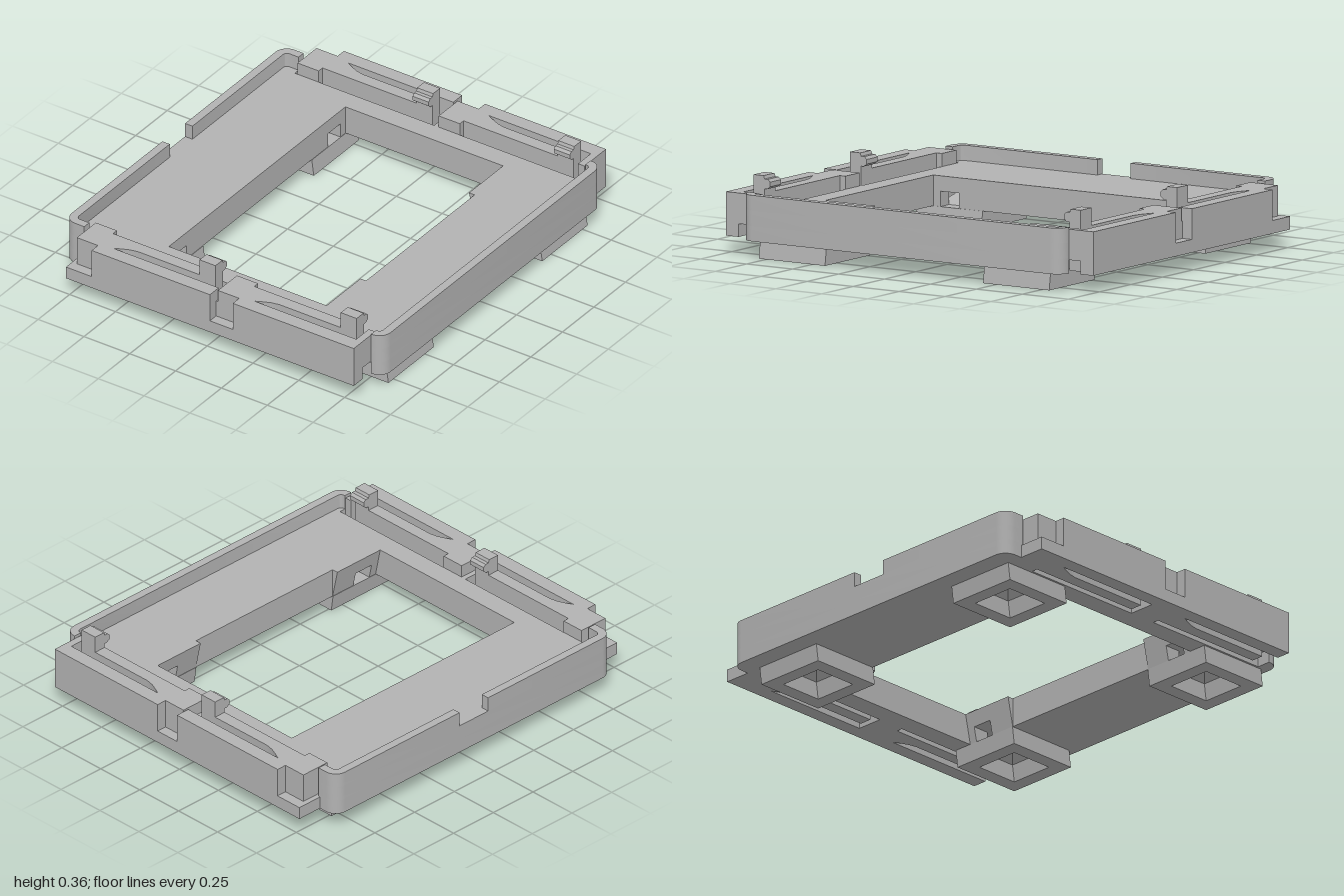
import * as THREE from 'three';
import { toCreasedNormals } from 'three/addons/utils/BufferGeometryUtils.js';

const grey = new THREE.MeshStandardMaterial({ color: 0xb2b2b2, side: THREE.DoubleSide });
grey.name = 'grey plastic';

// Heights of the main levels
const BASE = 0.08, POCKET = 0.15, FLOOR = 0.22, RIM = 0.29, STEP = 0.14, BAR = 0.28;

const toPath = (pts, Type) => new Type(pts.map(([a, b]) => new THREE.Vector2(a, b)));

// Horizontal slab from an [x, z] outline
function slab(outline, y0, y1, hole) {
  const flip = (pts) => pts.map(([x, z]) => [x, -z]);
  const shape = toPath(flip(outline), THREE.Shape);
  if (hole) shape.holes.push(toPath(flip(hole), THREE.Path));
  const geo = new THREE.ExtrudeGeometry(shape, { depth: y1 - y0, bevelEnabled: false });
  geo.rotateX(-Math.PI / 2).translate(0, y0, 0);
  return toCreasedNormals(geo, 0.5);
}

const rect = (x0, z0, x1, z1) => [[x0, z0], [x1, z0], [x1, z1], [x0, z1]];

// Quarter arc from the z side to the x side, around the corner (sx, sz)
function arc(sx, sz, r) {
  return Array.from({ length: 9 }, (_, i) => {
    const a = (Math.PI / 2) * (1 - i / 8);
    return [sx * (0.81 + r * Math.cos(a)), sz * (0.81 + r * Math.sin(a))];
  });
}

const FEET_X = { '-1': -0.593, '1': 0.653 };
const FOOT_Z = 0.61;

// Outline of the tray: rounded corner posts, recessed front and back edges
function trayOutline() {
  const corner = (sx, sz) => {
    const x = sx > 0 ? 0.805 : -0.76;
    return [[x, sz * 0.8], [x, sz * 0.87], ...arc(sx, sz, 0.06)];
  };
  return [...corner(1, 1), ...corner(1, -1).reverse(), ...corner(-1, -1), ...corner(-1, 1).reverse()];
}

// One long edge of the window, with keyhole pockets above the feet
function windowEdge(side, edgeX) {
  const pts = [[edgeX, -0.7]];
  const near = FEET_X[side] - side * 0.11, far = FEET_X[side] + side * 0.11;
  for (const z of [-FOOT_Z, FOOT_Z]) {
    pts.push([edgeX, z - 0.05], [near, z - 0.05], [near, z - 0.11], [far, z - 0.11],
      [far, z + 0.11], [near, z + 0.11], [near, z + 0.05], [edgeX, z + 0.05]);
  }
  pts.push([edgeX, 0.7]);
  return pts;
}

// Sloped lip on the window edge between two heights
function lip(y0, y1, z0, z1) {
  const x = (y) => 0.475 - ((y - BASE) / (FLOOR - BASE)) * 0.03;
  const shape = toPath([[x(y0), y0], [0.476, y0], [0.476, y1], [x(y1), y1]], THREE.Shape);
  return new THREE.ExtrudeGeometry(shape, { depth: z1 - z0, bevelEnabled: false }).translate(0, 0, z0);
}

// Leaning hollow foot
function footGeometry() {
  const geo = slab(rect(-0.18, -0.18, 0.18, 0.18), 0, BASE, rect(-0.11, -0.11, 0.11, 0.11));
  const p = geo.attributes.position;
  for (let i = 0; i < p.count; i++) p.setX(i, p.getX(i) + (BASE - p.getY(i)) * 0.14);
  geo.computeVertexNormals();
  return geo;
}

// Spring-arm section: stepped block, outer bar and cantilever arm
function clipOutline(x, end, s, stepped) {
  const block = stepped
    ? [[0.025, 0.8], [0.025, 0.95], [0.14, 0.95], [0.14, 1]]
    : [[0, 0.8], [0, 1]];
  return [...block, [end, 1], [end, 0.93], [0.21, 0.93], [0.24, 0.915], [0.28, 0.898], [0.32, 0.89],
    [0.74, 0.89], [0.74, 0.83], [0.14, 0.83], [0.14, 0.8]].map(([u, z]) => [x + u, s * z]);
}

// Catch at the free end of an arm
function hookGeometry(x0, x1, s) {
  const profile = [[0.89, 0.28], [0.89, 0.36], [0.835, 0.36], [0.83, 0.345], [0.812, 0.345],
    [0.8, 0.333], [0.8, 0.312], [0.815, 0.3], [0.83, 0.3], [0.83, 0.28]];
  const shape = toPath(profile.map(([z, y]) => [s * z, y]), THREE.Shape);
  return new THREE.ExtrudeGeometry(shape, { depth: x1 - x0, bevelEnabled: false })
    .rotateY(-Math.PI / 2).translate(x1, 0, 0);
}

export function createModel() {
  const model = new THREE.Group();
  model.name = 'clipFrame';
  const add = (name, geo, parent = model) => {
    const mesh = new THREE.Mesh(geo, grey);
    mesh.name = name;
    parent.add(mesh);
    return mesh;
  };

  // Tray: pocketed underside and plain floor
  const pocketWindow = [...windowEdge(-1, -0.415), ...windowEdge(1, 0.475).reverse()];
  add('trayUnderside', slab(trayOutline(), BASE, POCKET, pocketWindow));
  add('trayFloor', slab(trayOutline(), POCKET, FLOOR, rect(-0.415, -0.7, 0.475, 0.7)));

  // Rim along both sides, open in the middle of the right side
  for (const sx of [-1, 1]) {
    for (const sz of [-1, 1]) {
      const endX = sx > 0 ? 0.805 : -0.76, startZ = sx > 0 ? 0 : sz * 0.09;
      add('rim', slab([[endX, sz * 0.87], ...arc(sx, sz, 0.06), [sx * 0.87, startZ],
        [sx * 0.83, startZ], ...arc(sx, sz, 0.02).reverse(), [endX, sz * 0.83]], FLOOR, RIM));
    }
  }

  // Feet with funnel pockets
  for (const side of [-1, 1]) {
    for (const sz of [-1, 1]) {
      const foot = new THREE.Group();
      foot.name = 'foot';
      foot.position.set(FEET_X[side], 0, sz * FOOT_Z);
      add('footFrame', footGeometry(), foot);
      const funnel = new THREE.CylinderGeometry(0.03, 0.11 * Math.SQRT2, POCKET - BASE, 4, 1, true)
        .rotateY(Math.PI / 4).toNonIndexed();
      funnel.computeVertexNormals();
      add('footPocket', funnel, foot).position.y = (POCKET + BASE) / 2;
      model.add(foot);
    }
  }

  // Sloped window lips, open at the pockets
  for (const s of [-1, 1]) {
    for (const [y0, y1, a, b] of [[BASE, FLOOR, 0.43, 0.56], [BASE, FLOOR, 0.66, 0.7], [POCKET, FLOOR, 0.56, 0.66]]) {
      add('windowLip', lip(y0, y1, Math.min(s * a, s * b), Math.max(s * a, s * b)));
    }
  }

  // Front and back clip strips
  for (const s of [1, -1]) {
    const strip = new THREE.Group();
    strip.name = s > 0 ? 'frontClips' : 'backClips';
    for (const [x, lowEnd, highEnd] of [[-0.77, 0.77, 0.785], [0, 0.8, 0.8]]) {
      add('clipBase', slab(clipOutline(x, lowEnd, s, false), BASE, STEP), strip);
      add('clipArm', slab(clipOutline(x, highEnd, s, true), STEP, BAR), strip);
      add('clipHook', hookGeometry(x + 0.653, x + 0.74, s), strip);
    }
    add('clipBridge', slab(rect(0, s * 0.8, 0.026, s * 0.95), STEP, FLOOR), strip);
    add('clipEnd', slab(rect(0.765, s * 0.83, 0.8, s * 0.931), STEP, BAR), strip);
    model.add(strip);
  }
  return model;
}
